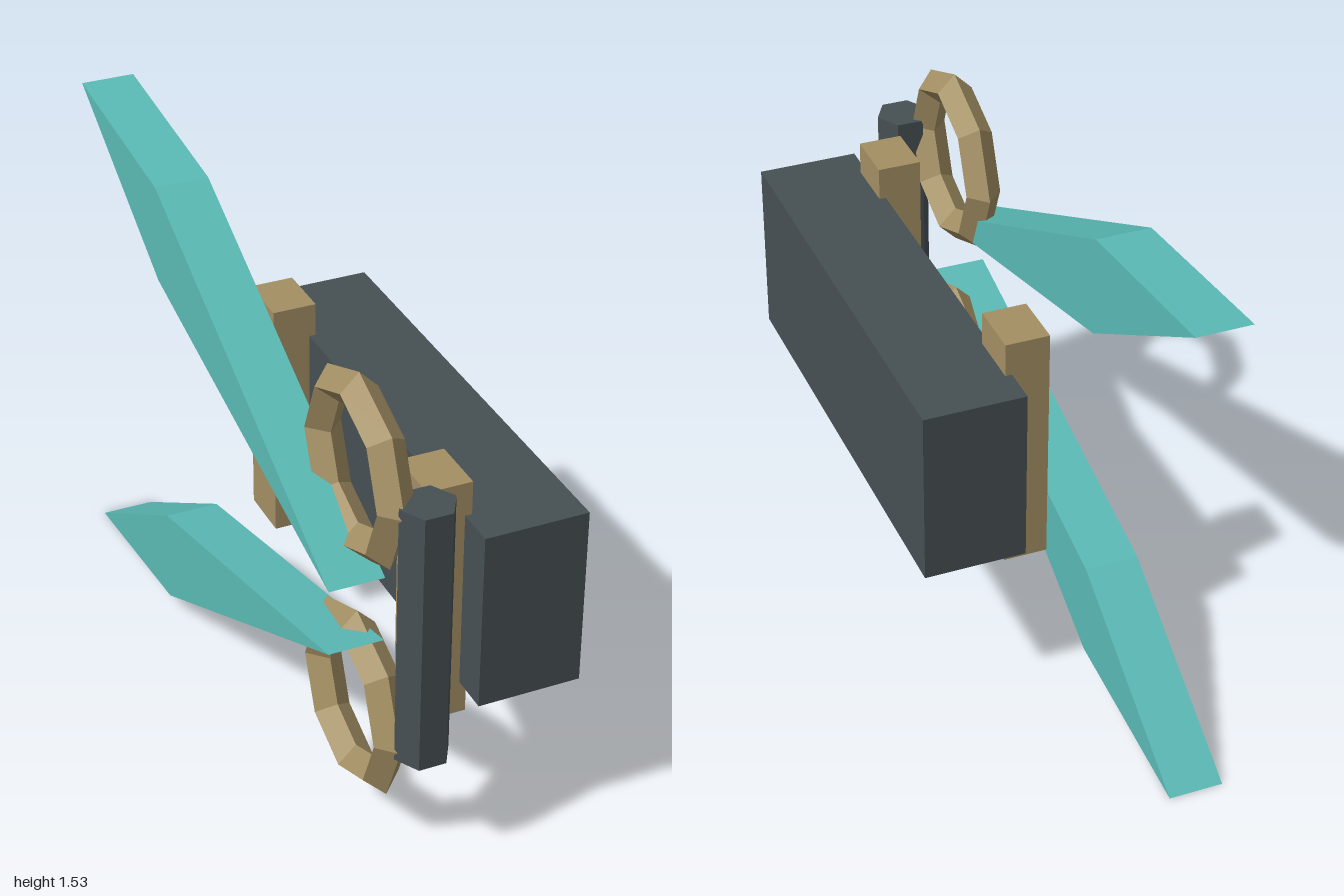
import * as THREE from 'three';

const MID_Y = 0.765; // height of the mirror plane between upper and lower parts

export function createModel() {
  const model = new THREE.Group();
  model.name = 'model';

  const material = (color) => new THREE.MeshStandardMaterial({ color, flatShading: true });
  const dark = material(0x465053);
  const tan = material(0xa38f63);
  const teal = material(0x5abab5);

  const add = (name, geometry, mat, x, y, z) => {
    const mesh = new THREE.Mesh(geometry, mat);
    mesh.name = name;
    mesh.position.set(x, y, z);
    model.add(mesh);
    return mesh;
  };

  // Long main block
  add('mainBlock', new THREE.BoxGeometry(0.3, 0.535, 1.395), dark, 0.18, 0.7675, 0.2675);

  // Two upright straps behind the block
  const strap = new THREE.BoxGeometry(0.13, 0.735, 0.17);
  add('frontStrap', strap, tan, -0.015, 0.7675, 0.765);
  add('rearStrap', strap, tan, -0.015, 0.7675, -0.235);

  // Six-sided upright post, corners pointing along x
  const post = new THREE.CylinderGeometry(0.08, 0.08, 0.795, 6).rotateY(Math.PI / 2);
  add('frontPost', post, dark, -0.118, 0.7675, 0.931);

  // Eight-sided rings with a diamond section
  const ring = new THREE.TorusGeometry(0.228, 0.053, 4, 8).rotateY(Math.PI / 2);

  // Swept blade with profile drawn as (-z, y offset from the mirror plane)
  const bladeGeometry = (side) => {
    const points = [[-0.8, 0.1], [0.4, 0.405], [1, 0.765], [0.4, 0.7]];
    const shape = new THREE.Shape(points.map(([u, v]) => new THREE.Vector2(u, v * side)));
    return new THREE.ExtrudeGeometry(shape, { depth: 0.16, bevelEnabled: false })
      .translate(0, 0, -0.08)
      .rotateY(Math.PI / 2);
  };

  for (const [label, side] of [['upper', 1], ['lower', -1]]) {
    add(label + 'Ring', ring, tan, -0.187, MID_Y + side * 0.37, 0.665);
    add(label + 'Blade', bladeGeometry(side), teal, -0.25, MID_Y, 0);
  }

  return model;
}
